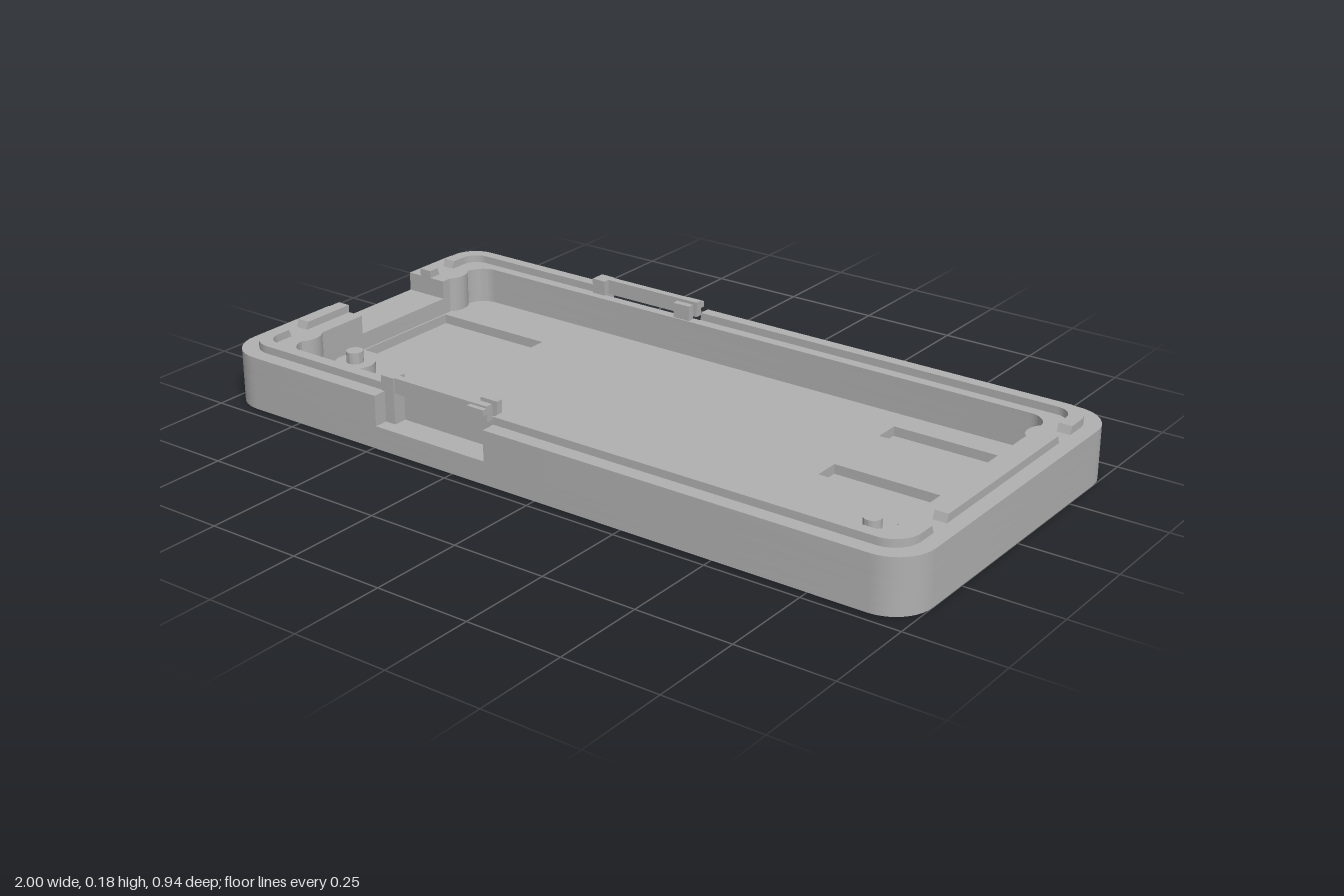
import * as THREE from 'three';
import { toCreasedNormals } from 'three/addons/utils/BufferGeometryUtils.js';

const FLOOR = 0.045, RIM = 0.14, LIP = 0.16, CLIP = 0.18;
const W = 1, D = 0.472;          // outer half sizes
const IW = 0.88, ID = 0.373;     // cavity half sizes

// Closed outline in x,z; each corner is [x, z, optional radius]
function outline(pts, Type = THREE.Shape) {
  const path = new Type();
  const v = pts.map(([x, z]) => new THREE.Vector2(x, z));
  pts.forEach(([, , r = 0], i) => {
    const p = v[i], a = v[(i + v.length - 1) % v.length], b = v[(i + 1) % v.length];
    const s = p.clone().add(a.clone().sub(p).setLength(r));
    const e = p.clone().add(b.clone().sub(p).setLength(r));
    if (i === 0) path.moveTo(s.x, s.y); else path.lineTo(s.x, s.y);
    if (r) {
      const c = s.clone().lerp(p, 0.5523), d = e.clone().lerp(p, 0.5523);
      path.bezierCurveTo(c.x, c.y, d.x, d.y, e.x, e.y);
    }
  });
  path.closePath();
  return path;
}

const rect = (x0, x1, z0, z1, r = 0) => [[x0, z0, r], [x1, z0, r], [x1, z1, r], [x0, z1, r]];

// Horizontal layer between two heights
function slab(pts, y0, y1, holes = []) {
  const shape = outline(pts);
  shape.holes = holes.map((h) => outline(h, THREE.Path));
  const g = new THREE.ExtrudeGeometry(shape, { depth: y1 - y0, bevelEnabled: false, curveSegments: 10 });
  return g.rotateX(Math.PI / 2).translate(0, y1, 0);
}

export function createModel() {
  const group = new THREE.Group();
  const grey = new THREE.MeshStandardMaterial({ color: 0xb0b0b0 });
  grey.name = 'grey plastic';
  const add = (name, geometry, parent = group) => {
    const m = new THREE.Mesh(toCreasedNormals(geometry, 0.6), grey);
    m.name = name;
    parent.add(m);
    return m;
  };
  const box = (name, x0, x1, y0, y1, z0, z1, parent) => add(name,
    new THREE.BoxGeometry(x1 - x0, y1 - y0, z1 - z0)
      .translate((x0 + x1) / 2, (y0 + y1) / 2, (z0 + z1) / 2), parent);

  // Floor with a square pocket and two slots
  const outer = rect(-W, W, -D, D, 0.1);
  const cavity = rect(-IW, IW, -ID, ID, 0.055);
  add('bottomPlate', slab(outer, 0, 0.02));
  add('floor', slab(outer, 0.02, FLOOR, [
    rect(-0.875, -0.535, -0.22, 0.1),
    rect(0.5, 0.845, -0.3, -0.23),
    rect(0.5, 0.845, -0.03, 0.04),
  ]));

  // Walls: plain, then recessed for the clips, then open at the port
  const notch = (z, x0, x1) => [[x0, z], [x0, Math.sign(z) * 0.4], [x1, Math.sign(z) * 0.4], [x1, z]];
  const backEdge = [[-W, -D, 0.1], ...notch(-D, -0.49, -0.15), [W, -D, 0.1]];
  const frontEdge = [[W, D, 0.1], ...notch(D, -0.15, -0.49), [-W, D, 0.1]];
  add('lowerWall', slab(outer, FLOOR, 0.06, [cavity]));
  add('middleWall', slab([...backEdge, ...frontEdge], 0.06, 0.09, [cavity]));
  add('upperWall', slab([
    [-W, -0.22], ...backEdge, ...frontEdge, [-W, 0.1], [-IW, 0.1],
    [-IW, ID, 0.055], [IW, ID, 0.055], [IW, -ID, 0.055], [-IW, -ID, 0.055], [-IW, -0.22],
  ], 0.09, RIM));

  // Raised lip in segments, with sloped ends beside the bosses
  const lip = (pts) => {
    const g = slab(pts, RIM, LIP), p = g.attributes.position;
    for (let i = 0; i < p.count; i++) {
      const z = p.getZ(i), a = Math.abs(z);
      if (p.getY(i) > 0.15 || Math.abs(p.getX(i)) < 0.91) continue;
      if (Math.abs(a - 0.25) < 0.001) p.setZ(i, Math.sign(z) * 0.257);
      if (Math.abs(a - 0.32) < 0.001) p.setZ(i, Math.sign(z) * 0.313);
    }
    g.computeVertexNormals();
    add('lip', g);
  };
  for (const s of [-1, 1]) {
    for (const [sx, end] of [[1, -0.15], [-1, -0.5]]) {
      lip([[sx * 0.96, s * 0.32], [sx * 0.96, s * 0.433, 0.07], [end, s * 0.433],
        [end, s * 0.402], [sx * 0.925, s * 0.402, 0.045], [sx * 0.925, s * 0.32]]);
    }
  }
  lip(rect(0.925, 0.96, -0.25, 0.25));
  lip(rect(-0.96, -0.925, 0.1, 0.25));
  lip(rect(-0.96, -0.925, -0.25, -0.22));

  // Round bosses along the short walls
  for (const x of [-0.92, 0.92]) for (const z of [-0.285, 0.285]) {
    add('boss', new THREE.CylinderGeometry(0.055, 0.055, RIM - FLOOR, 32)
      .translate(x, (RIM + FLOOR) / 2, z));
  }

  // Locating pegs on the floor
  for (const [x, z] of [[-0.79, 0.225], [0.78, 0.26]]) {
    const profile = [[0, 0], [0.052, 0], [0.052, 0.03], [0.022, 0.03], [0.022, 0.06], [0, 0.06]];
    add('peg', new THREE.LatheGeometry(profile.map(([r, y]) => new THREE.Vector2(r, y)), 32)
      .translate(x, FLOOR, z));
  }

  // Latch clips on both long sides
  for (const s of [1, -1]) {
    const clip = new THREE.Group();
    clip.name = s > 0 ? 'frontClip' : 'backClip';
    group.add(clip);
    const part = (name, x0, x1, y0, y1, z0, z1) =>
      box(name, x0, x1, y0, y1, s > 0 ? z0 : -z1, s > 0 ? z1 : -z0, clip);
    part('clipPost', -0.5, -0.46, 0.06, CLIP, 0.395, 0.436);
    part('clipBar', -0.46, -0.17, RIM, CLIP, 0.412, 0.432);
    part('clipCatch', -0.22, -0.17, 0.16, 0.175, 0.43, 0.445);
    part('clipStop', -0.22, -0.17, RIM, CLIP, 0.377, 0.395);
  }
  return group;
}
